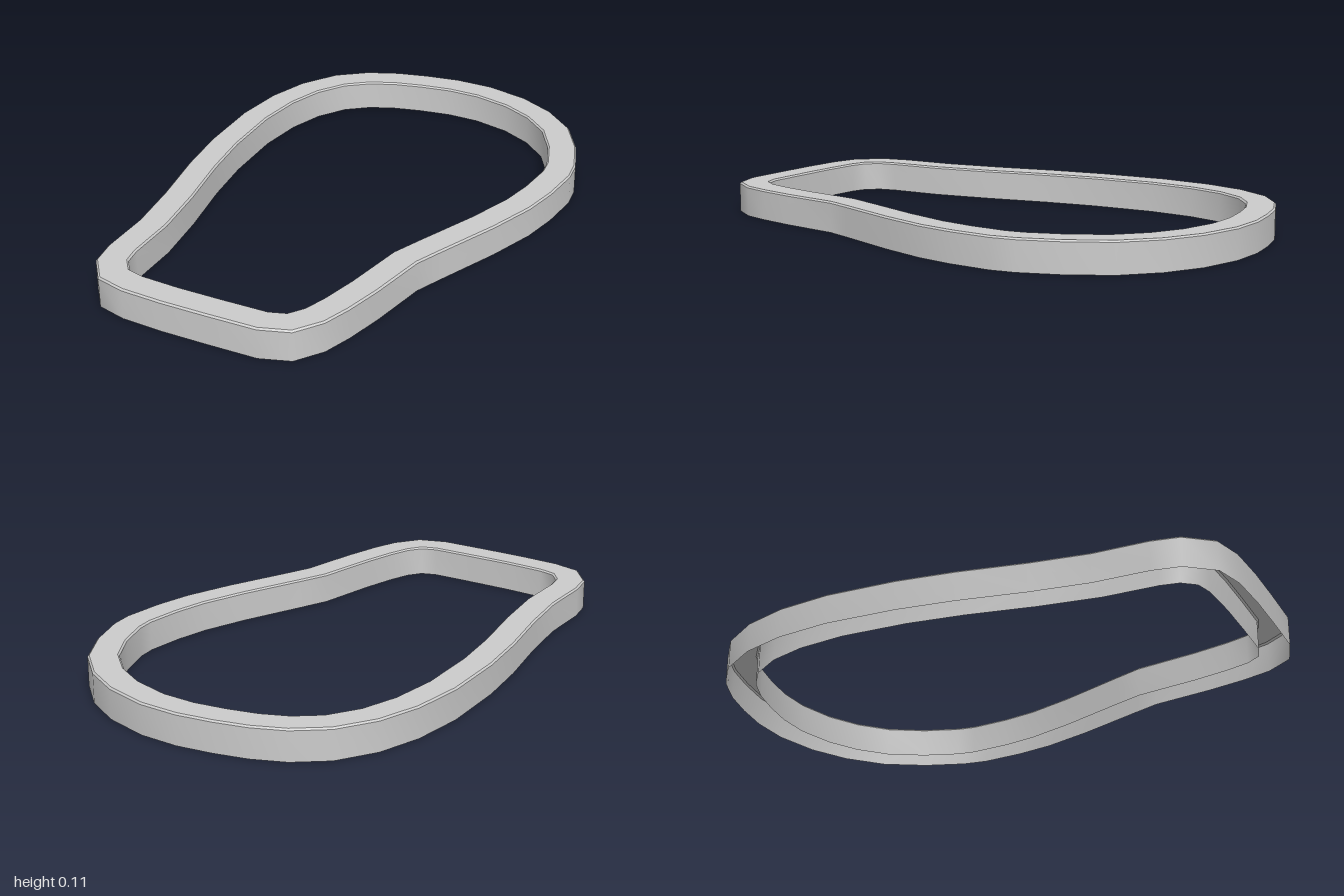
import * as THREE from 'three';
import { mergeGeometries } from 'three/addons/utils/BufferGeometryUtils.js';

// Outer outline as [x, z], clockwise seen from above, starting at the back
const OUTLINE = [
  [-0.02, -1], [0.11, -0.995], [0.25, -0.965], [0.4, -0.895], [0.52, -0.8], [0.615, -0.675],
  [0.67, -0.52], [0.694, -0.37], [0.69, -0.28], [0.65, -0.13], [0.6, 0], [0.51, 0.165],
  [0.375, 0.38], [0.32, 0.47], [0.245, 0.68], [0.19, 0.81], [0.14, 0.905], [0.06, 0.985],
  [-0.05, 1], [-0.23, 0.968], [-0.39, 0.937], [-0.54, 0.9], [-0.64, 0.852], [-0.696, 0.745],
  [-0.696, 0.645], [-0.665, 0.45], [-0.657, 0.24], [-0.66, 0], [-0.65, -0.21], [-0.615, -0.46],
  [-0.56, -0.645], [-0.485, -0.79], [-0.38, -0.905], [-0.26, -0.968], [-0.14, -0.994],
].map(([x, z]) => new THREE.Vector2(x, z));

// Cross-section as [inset, height]: a channel open at the bottom with small bevels
const PROFILE = [[0, 0], [0, 0.104], [0.006, 0.11], [0.099, 0.11], [0.105, 0.104], [0.105, 0]];

// Mitred inward direction at each outline corner
function inwardOffsets(points) {
  const n = points.length;
  const edgeNormal = (a, b) => new THREE.Vector2(a.y - b.y, b.x - a.x).normalize();
  return points.map((p, i) => {
    const before = edgeNormal(points[(i + n - 1) % n], p);
    const after = edgeNormal(p, points[(i + 1) % n]);
    const miter = before.clone().add(after).normalize();
    return miter.divideScalar(miter.dot(after));
  });
}

// One band of the channel, swept around the outline with smooth normals
function band(points, offsets, from, to) {
  const n = points.length, positions = [], index = [];
  points.forEach((p, i) => {
    for (const [inset, y] of [from, to]) {
      positions.push(p.x + offsets[i].x * inset, y, p.y + offsets[i].y * inset);
    }
    const a = 2 * i, b = 2 * ((i + 1) % n);
    index.push(a, a + 1, b + 1, a, b + 1, b);
  });
  const geometry = new THREE.BufferGeometry();
  geometry.setAttribute('position', new THREE.Float32BufferAttribute(positions, 3));
  geometry.setIndex(index);
  geometry.computeVertexNormals();
  return geometry;
}

export function createModel() {
  const group = new THREE.Group();
  group.name = 'frame';
  const offsets = inwardOffsets(OUTLINE);
  const bands = PROFILE.slice(1).map((to, k) => band(OUTLINE, offsets, PROFILE[k], to));
  const rim = new THREE.Mesh(
    mergeGeometries(bands),
    new THREE.MeshStandardMaterial({ color: 0xcccccc, side: THREE.DoubleSide }),
  );
  rim.name = 'rimChannel';
  group.add(rim);
  return group;
}
